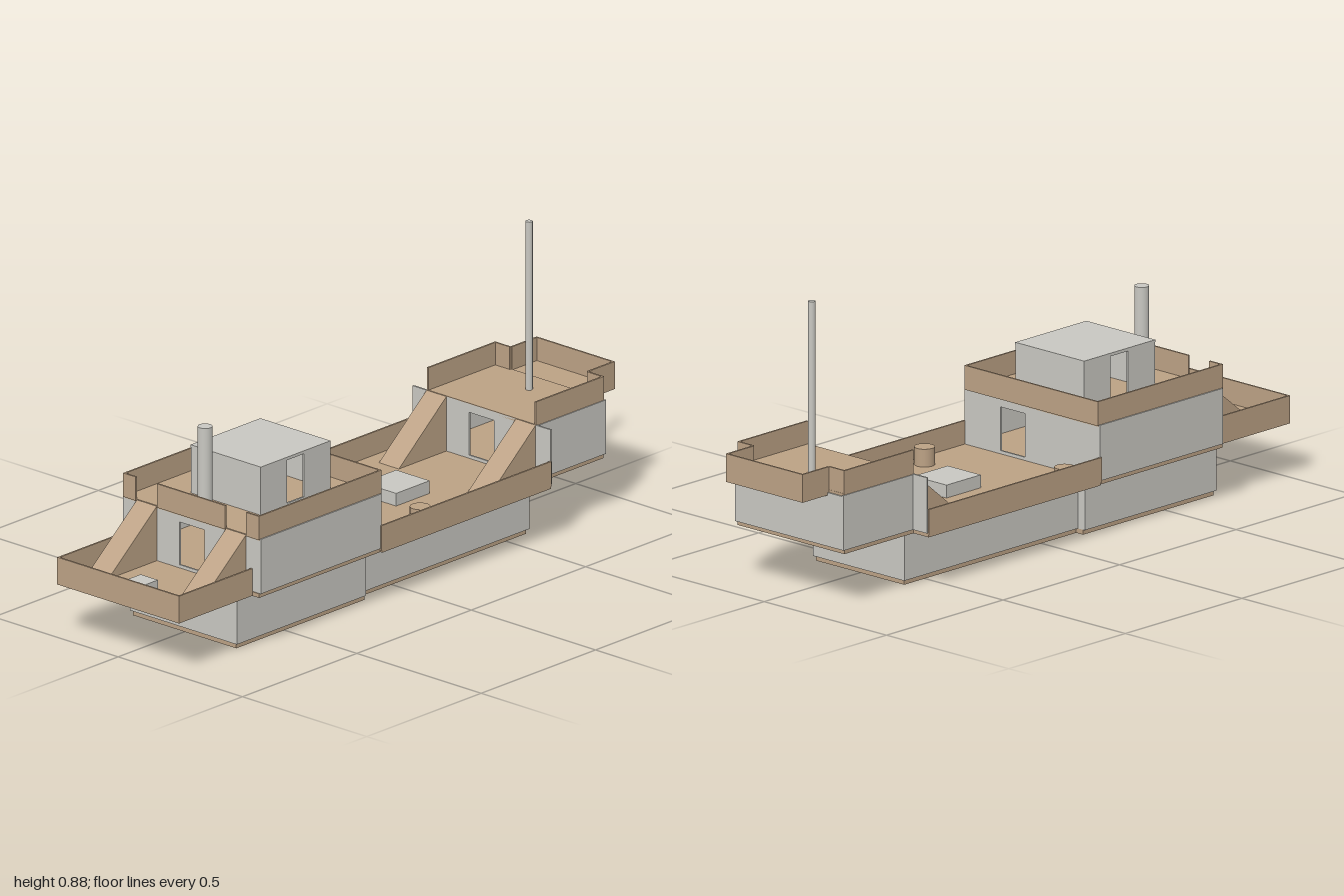
import * as THREE from 'three';

const grey = new THREE.MeshStandardMaterial({ color: 0xc8c7c1 });
grey.name = 'pale grey';
const tan = new THREE.MeshStandardMaterial({ color: 0xbba184 });
tan.name = 'tan';
const T = 0.006; // sheet thickness

export function createModel() {
  const ship = new THREE.Group();
  ship.name = 'ship';

  const add = (name, geometry, material) => {
    const mesh = new THREE.Mesh(geometry, material);
    mesh.name = name;
    ship.add(mesh);
    return mesh;
  };
  // Box given by its limits on each axis
  const box = (name, mat, x0, x1, y0, y1, z0, z1) =>
    add(name, new THREE.BoxGeometry(x1 - x0, y1 - y0, z1 - z0), mat)
      .position.set((x0 + x1) / 2, (y0 + y1) / 2, (z0 + z1) / 2);
  const post = (name, mat, x, z, r, y0, y1, sides = 24) =>
    add(name, new THREE.CylinderGeometry(r, r, y1 - y0, sides), mat).position.set(x, (y0 + y1) / 2, z);

  // Upright sheet with an optional door [u0, u1, v0, v1]; axis is its normal, at its inner/lower face
  const wall = (name, axis, at, u0, u1, v0, v1, door) => {
    const rect = (P, a, b, c, d) => {
      const p = new P();
      p.moveTo(a, c); p.lineTo(b, c); p.lineTo(b, d); p.lineTo(a, d); p.closePath();
      return p;
    };
    const shape = rect(THREE.Shape, u0, u1, v0, v1);
    if (door) shape.holes.push(rect(THREE.Path, ...door));
    const g = new THREE.ExtrudeGeometry(shape, { depth: T, bevelEnabled: false });
    if (axis === 'x') g.rotateY(-Math.PI / 2).translate(at + T, 0, 0);
    else g.translate(0, 0, at);
    add(name, g, grey);
  };

  // Lower hull in two widths, each on a thin keel plate
  box('keelPlateAft', tan, -0.71, -0.15, 0, 0.015, -0.208, 0.208);
  box('keelPlateMid', tan, -0.15, 0.588, 0, 0.015, -0.18, 0.18);
  box('hullAft', grey, -0.715, -0.15, 0.015, 0.167, -0.215, 0.215);
  box('hullMid', grey, -0.15, 0.595, 0.015, 0.167, -0.187, 0.187);

  // Main deck plates
  box('sternDeck', tan, -1, -0.68, 0.167, 0.18, -0.245, 0.245);
  box('aftHouseFloor', tan, -0.68, -0.15, 0.167, 0.18, -0.272, 0.272);
  box('midDeck', tan, -0.15, 0.588, 0.167, 0.18, -0.28, 0.28);
  box('bowHouseFloor', tan, 0.588, 0.885, 0.167, 0.18, -0.218, 0.218);

  // Aft house with doors fore and aft
  const AW = 0.277;
  wall('aftHouseFront', 'x', -0.15 - T, -AW, AW, 0.18, 0.352, [0.03, 0.13, 0.19, 0.325]);
  wall('aftHouseRear', 'x', -0.677, -AW, AW, 0.18, 0.352, [-0.05, 0.05, 0.19, 0.325]);
  for (const z of [AW - T, -AW]) wall('aftHouseSide', 'z', z, -0.677, -0.15, 0.18, 0.352);
  box('aftHouseDeck', tan, -0.677, -0.15, 0.346, 0.354, -0.271, 0.271);

  // Bow house, its rear wall spanning the whole beam
  wall('bowHouseRear', 'x', 0.588, -0.278, 0.278, 0.18, 0.352, [-0.05, 0.05, 0.19, 0.325]);
  wall('bowHouseFront', 'x', 0.892 - T, -0.222, 0.222, 0.18, 0.346);
  for (const z of [0.222 - T, -0.222]) wall('bowHouseSide', 'z', z, 0.588, 0.892, 0.18, 0.35);
  box('bowHouseDeck', tan, 0.588, 0.887, 0.344, 0.354, -0.218, 0.218);
  box('bowPlatform', tan, 0.887, 1, 0.338, 0.352, -0.157, 0.157);

  // Bulwarks and boarding ramps, mirrored about the centreline
  for (const s of [1, -1]) {
    const side = (name, x0, x1, y0, y1, z) =>
      box(name, tan, x0, x1, y0, y1, s > 0 ? z - T : -z, s > 0 ? z : T - z);
    side('sternBulwark', -1, -0.68, 0.175, 0.253, 0.245);
    side('midBulwark', -0.155, 0.588, 0.175, 0.253, 0.281);
    side('aftHouseBulwark', -0.682, -0.145, 0.35, 0.425, 0.273);
    side('bowHouseBulwark', 0.588, 0.885, 0.35, 0.425, 0.219);
    side('bowPlatformBulwark', 0.885, 1, 0.345, 0.425, 0.157);
    const lo = (a, b) => (s > 0 ? [a, b] : [-b, -a]);
    box('bowShoulderBulwark', tan, 0.88, 0.886, 0.35, 0.425, ...lo(0.155, 0.218));
    box('aftHouseRearCorner', tan, -0.682, -0.676, 0.35, 0.425, ...lo(0.222, 0.272));

    // Solid wedge ramps: foot x, head x
    for (const [foot, head] of [[-0.89, -0.678], [0.38, 0.588]]) {
      const tri = new THREE.Shape();
      tri.moveTo(foot, 0.18); tri.lineTo(head, 0.18); tri.lineTo(head, 0.352); tri.closePath();
      const g = new THREE.ExtrudeGeometry(tri, { depth: 0.08, bevelEnabled: false });
      add('ramp', g.translate(0, 0, s > 0 ? 0.138 : -0.221), tan);
    }
  }
  box('sternEndBulwark', tan, -1, -1 + T, 0.175, 0.253, -0.244, 0.244);
  box('aftHouseFrontBulwark', tan, -0.151, -0.145, 0.35, 0.425, -0.272, 0.272);
  box('aftHouseRearBulwark', tan, -0.682, -0.676, 0.35, 0.425, -0.137, 0.137);
  box('bowEndBulwark', tan, 1 - T, 1, 0.345, 0.425, -0.156, 0.156);

  // Bridge with an open doorway on each side
  for (const z of [0.14 - T, -0.14])
    wall('bridgeSide', 'z', z, -0.53, -0.225, 0.354, 0.5, [-0.415, -0.34, 0.36, 0.496]);
  for (const x of [-0.53, -0.225 - T]) wall('bridgeEnd', 'x', x, -0.139, 0.139, 0.354, 0.5);
  box('bridgeRoof', grey, -0.53, -0.225, 0.499, 0.506, -0.141, 0.141);

  // Deck fittings
  box('cargoHatch', grey, 0.143, 0.29, 0.18, 0.22, -0.069, 0.066);
  box('sternHatch', grey, -0.94, -0.865, 0.18, 0.215, -0.034, 0.036);
  post('deckDrum', tan, -0.052, -0.226, 0.031, 0.18, 0.235);
  post('deckDrum', tan, 0.082, 0.219, 0.031, 0.18, 0.235);
  post('funnel', grey, -0.62, 0, 0.022, 0.354, 0.625);
  post('mast', grey, 0.796, 0, 0.011, 0.354, 0.885, 16);

  return ship;
}
